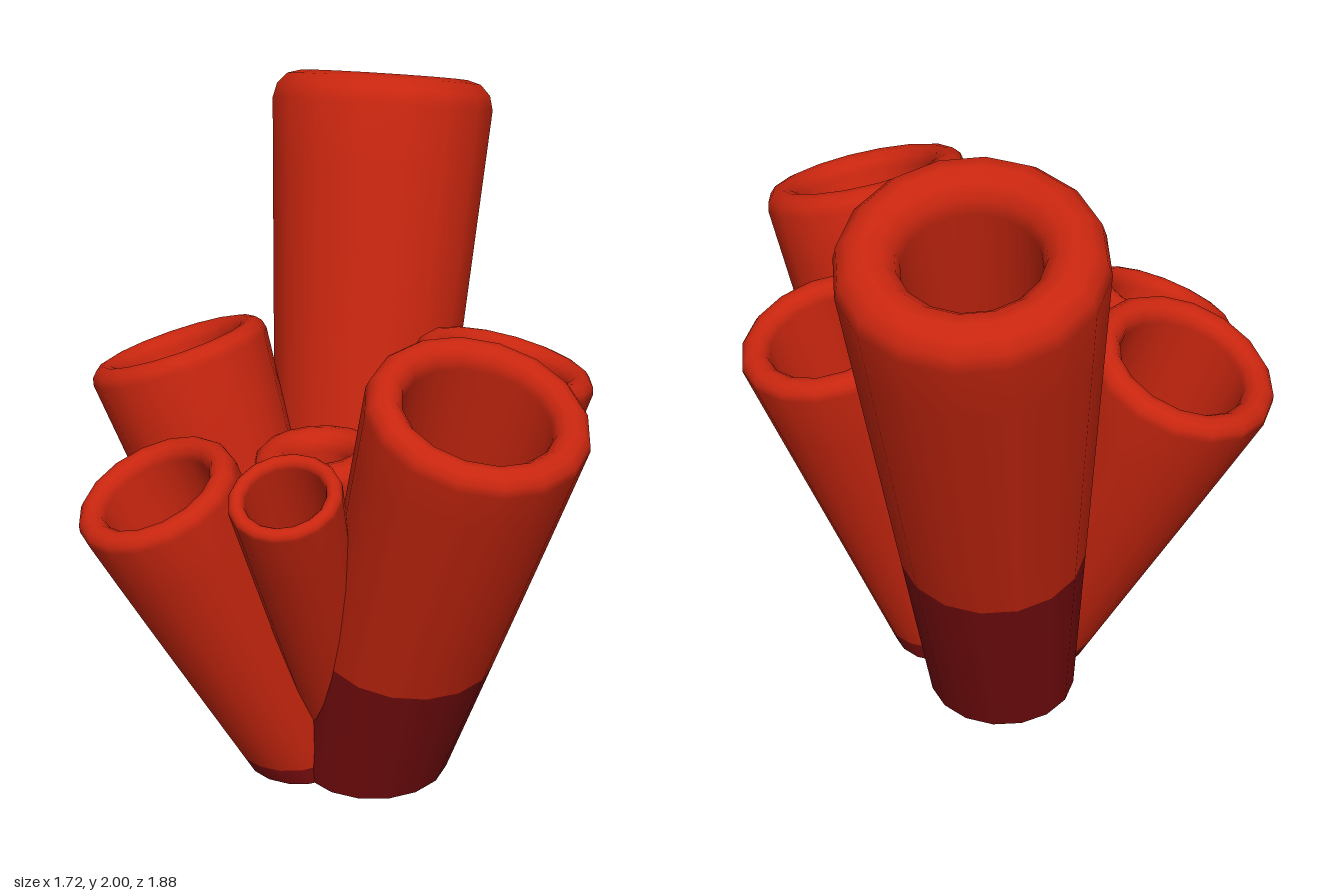
import * as THREE from 'three';
import { mergeVertices } from 'three/addons/utils/BufferGeometryUtils.js';

const SIDES = 16;
const UP = new THREE.Vector3(0, 1, 0);

// base and top centres, base/top/hole radii, height of the dark foot
const TUBES = [
  { name: 'tallTube', base: [0.11, -0.22], top: [0.53, 1.92, -0.62], r0: 0.225, r1: 0.35, hole: 0.18, foot: 0.68 },
  { name: 'frontTube', base: [-0.02, 0.14], top: [-0.02, 1.39, 0.65], r0: 0.23, r1: 0.315, hole: 0.21, foot: 0.485 },
  { name: 'leftTube', base: [0.13, 0.07], top: [0.455, 1.25, 0.15], r0: 0.15, r1: 0.275, hole: 0.19, foot: 0.07 },
  { name: 'backTube', base: [-0.08, -0.14], top: [-0.28, 1.22, -0.565], r0: 0.165, r1: 0.28, hole: 0.19, foot: 0.07 },
  { name: 'rightTube', base: [-0.2, 0], top: [-0.65, 1.03, -0.06], r0: 0.165, r1: 0.245, hole: 0.165, foot: 0.06 },
  { name: 'smallTube', base: [-0.07, 0.08], top: [-0.46, 1.12, 0.345], r0: 0.09, r1: 0.162, hole: 0.115, foot: 0 },
  { name: 'centreTube', base: [-0.05, -0.05], top: [-0.07, 1.0, -0.08], r0: 0.13, r1: 0.2, hole: 0.085, foot: 0 },
];

// Lathe a profile, then lean it: rings are level at the ground and square to the axis at the top
function leaningLathe(profile, tube) {
  const [bx, bz] = tube.base;
  const [tx, height, tz] = tube.top;
  const axis = new THREE.Vector3(tx - bx, height, tz - bz).normalize();
  const lean = new THREE.Quaternion().setFromUnitVectors(UP, axis);
  let geo = new THREE.LatheGeometry(profile, SIDES);
  geo.deleteAttribute('normal');
  geo.deleteAttribute('uv');
  geo = mergeVertices(geo, 1e-5);
  const pos = geo.attributes.position;
  const v = new THREE.Vector3();
  const q = new THREE.Quaternion();
  for (let i = 0; i < pos.count; i++) {
    const y = pos.getY(i);
    const t = y / height;
    q.identity().slerp(lean, t);
    v.set(pos.getX(i), 0, pos.getZ(i)).applyQuaternion(q);
    pos.setXYZ(i, v.x + bx + (tx - bx) * t, v.y + y, v.z + bz + (tz - bz) * t);
  }
  geo.computeVertexNormals();
  return geo;
}

function buildTube(tube, red, dark) {
  const group = new THREE.Group();
  group.name = tube.name;
  const { r0, r1, hole, foot } = tube;
  const height = tube.top[1];
  const lip = (r1 - hole) / 2;
  const shoulder = height - lip;
  const radiusAt = (y) => r0 + (r1 - r0) * y / shoulder;
  const add = (name, geo, mat) => {
    const mesh = new THREE.Mesh(geo, mat);
    mesh.name = name;
    group.add(mesh);
    return mesh;
  };

  // outer wall
  const profile = [];
  for (let i = 0; i < 6; i++) {
    const y = foot + (shoulder - foot) * i / 6;
    profile.push(new THREE.Vector2(radiusAt(y), y));
  }
  // rounded lip
  for (let i = 0; i <= 6; i++) {
    const a = Math.PI * i / 6;
    profile.push(new THREE.Vector2(hole + lip + lip * Math.cos(a), shoulder + lip * Math.sin(a)));
  }
  // hollow inside with a closed floor
  profile.push(
    new THREE.Vector2(hole * 0.95, height * 0.75),
    new THREE.Vector2(hole * 0.85, height * 0.52),
    new THREE.Vector2(hole * 0.6, height * 0.47),
    new THREE.Vector2(0, height * 0.46),
  );
  add('tubeWall', leaningLathe(profile, tube), red);

  // dark foot
  if (foot > 0) {
    const footProfile = [0, 0.5, 1].map((t) => new THREE.Vector2(radiusAt(foot * t), foot * t));
    add('tubeFoot', leaningLathe(footProfile, tube), dark);
  }

  // flat underside
  const cap = add('underside', new THREE.CircleGeometry(r0, SIDES).rotateX(Math.PI / 2), foot > 0 ? dark : red);
  cap.position.set(tube.base[0], foot > 0 ? 0 : 0.002, tube.base[1]);
  return group;
}

export function createModel() {
  const red = new THREE.MeshStandardMaterial({ color: 0xc9260f });
  red.name = 'red';
  const dark = new THREE.MeshStandardMaterial({ color: 0x7a0c0e });
  dark.name = 'darkRed';

  const model = new THREE.Group();
  model.name = 'tubeSponge';
  for (const tube of TUBES) model.add(buildTube(tube, red, dark));
  return model;
}
